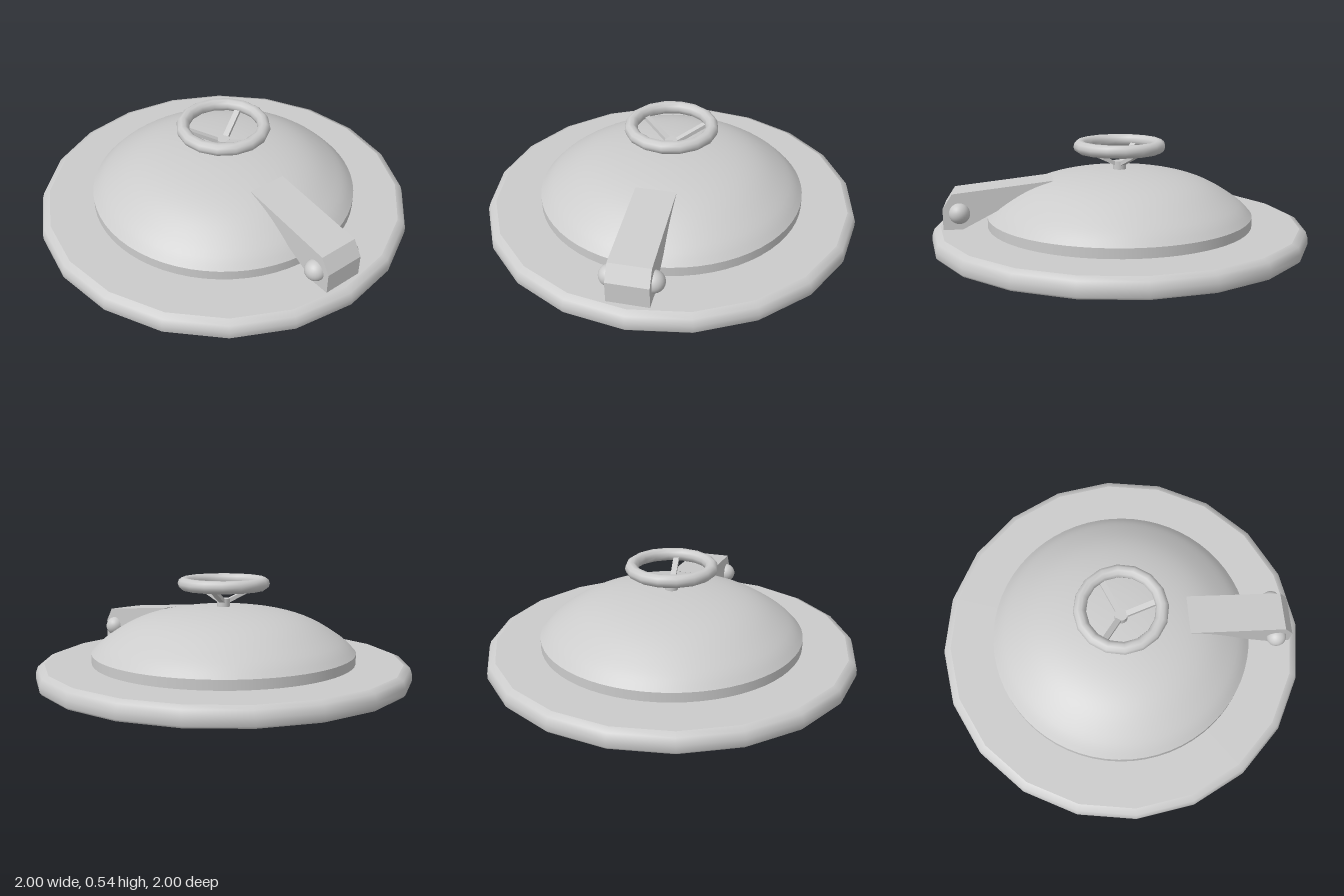
import * as THREE from 'three';

const material = new THREE.MeshStandardMaterial({ color: 0xcccccc });

function add(parent, name, geometry, x = 0, y = 0, z = 0) {
  const mesh = new THREE.Mesh(geometry, material);
  mesh.name = name;
  mesh.position.set(x, y, z);
  parent.add(mesh);
  return mesh;
}

// Lathe from [radius, height] pairs running bottom to top
function lathe(points, segments) {
  return new THREE.LatheGeometry(points.map(([r, y]) => new THREE.Vector2(r, y)), segments);
}

export function createModel() {
  const model = new THREE.Group();
  model.name = 'hatch';

  // Flange: a coarse disc with a rounded rim and crisp flat faces
  const flange = new THREE.Group();
  flange.name = 'flange';
  model.add(flange);
  add(flange, 'flangeRim', lathe([[0.99, 0], [1, 0.012], [1, 0.045], [0.988, 0.08], [0.955, 0.094]], 20));
  add(flange, 'flangeTop', new THREE.CircleGeometry(0.955, 20), 0, 0.094).rotation.x = -Math.PI / 2;
  add(flange, 'flangeBottom', new THREE.CircleGeometry(0.99, 20)).rotation.x = Math.PI / 2;

  // Domed lid on a short upright wall
  add(model, 'lidWall', lathe([[0.708, 0.08], [0.708, 0.145]], 64));
  const domeCurve = new THREE.SplineCurve([
    [0.708, 0.145], [0.64, 0.21], [0.5, 0.296], [0.355, 0.346], [0.175, 0.374], [0, 0.382],
  ].map(([r, y]) => new THREE.Vector2(r, y)));
  add(model, 'lidDome', new THREE.LatheGeometry(domeCurve.getPoints(20), 64));

  // Hand wheel: hub, ring and three rising spokes
  const wheel = new THREE.Group();
  wheel.name = 'handWheel';
  model.add(wheel);
  add(wheel, 'hub', new THREE.CylinderGeometry(0.035, 0.035, 0.055, 16), 0, 0.397);
  add(wheel, 'ring', new THREE.TorusGeometry(0.213, 0.034, 10, 16), 0, 0.505).rotation.x = Math.PI / 2;
  for (const degrees of [-9, 122, 242]) {
    const a = THREE.MathUtils.degToRad(degrees);
    const start = new THREE.Vector3(0, 0.4, 0);
    const end = new THREE.Vector3(0.2 * Math.cos(a), 0.495, 0.2 * Math.sin(a));
    const middle = start.clone().lerp(end, 0.5);
    const spoke = add(wheel, 'spoke', new THREE.BoxGeometry(0.03, 0.02, start.distanceTo(end)), ...middle.toArray());
    spoke.lookAt(end);
  }

  // Hinge arm: a wedge-shaped profile extruded across z
  const profile = new THREE.Shape([
    [0.36, 0.345], [0.6, 0.22], [0.83, 0.1], [0.93, 0.1], [0.93, 0.21], [0.88, 0.287],
  ].map(([x, y]) => new THREE.Vector2(x, y)));
  const armWidth = 0.21;
  const arm = new THREE.ExtrudeGeometry(profile, { depth: armWidth, bevelEnabled: false });
  add(model, 'hingeArm', arm, 0, 0, -armWidth / 2);

  // Rounded pin heads on both sides of the arm
  for (const side of [-1, 1]) {
    add(model, 'hingePin', new THREE.SphereGeometry(0.054, 24, 16), 0.845, 0.185, side * 0.105);
  }
  return model;
}
